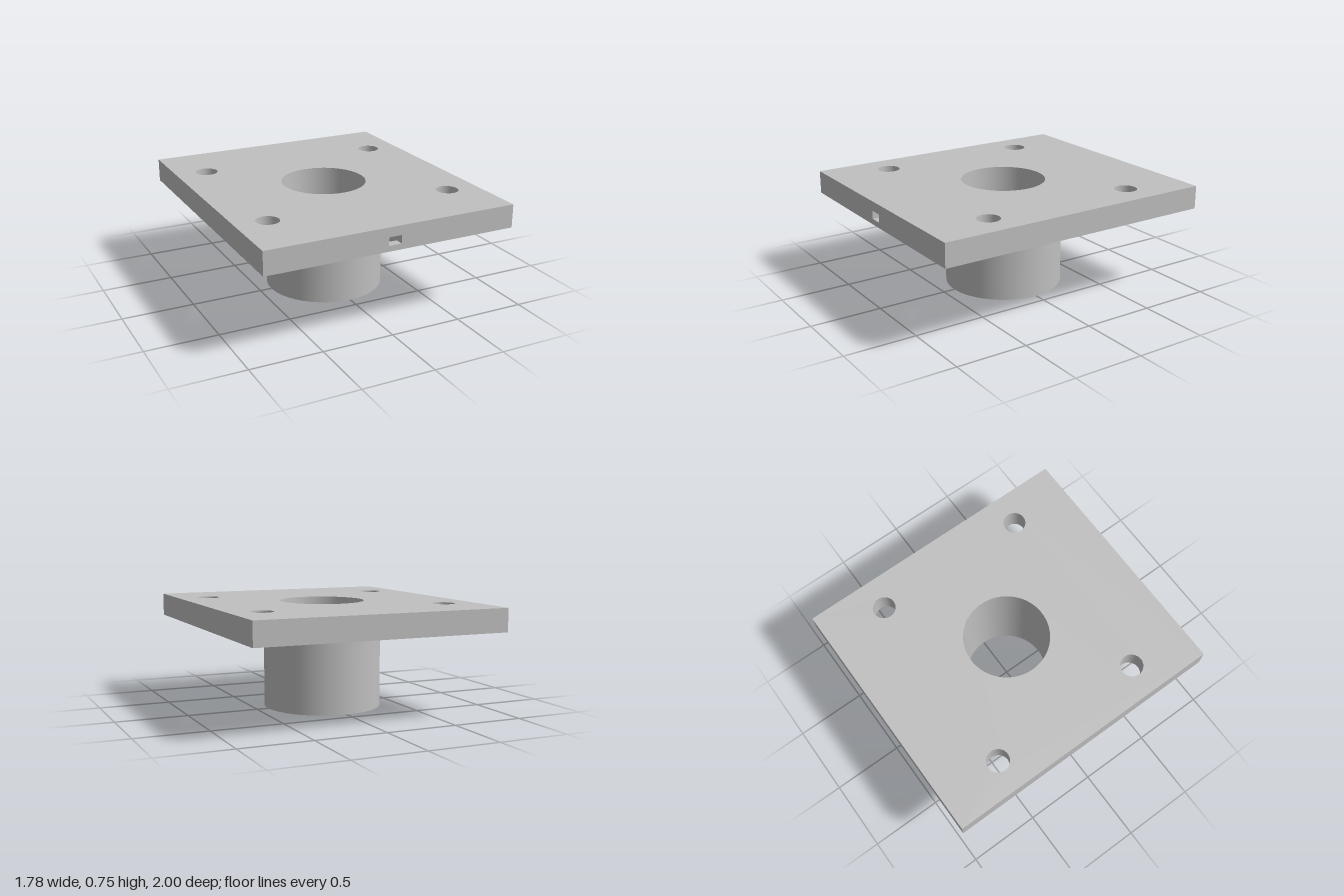
import * as THREE from 'three';

export function createModel() {
  const group = new THREE.Group();
  const steel = new THREE.MeshStandardMaterial({ color: 0xc0c0c0 });
  steel.name = 'grey steel';
  const steelInside = new THREE.MeshStandardMaterial({ color: 0xc0c0c0, side: THREE.DoubleSide });
  steelInside.name = 'grey steel inside';

  const W = 0.89, D = 1, TOP = 0.75, UNDER = 0.588, LIP = 0.56;
  const BORE = 0.296, TUBE = 0.415, FLANGE = 0.472;
  const BOLT = 0.078, SCREW = 0.03, SCREW_END = 0.2;
  const SLOT = { x: 0.046, z0: 0.78, z1: 0.94, y0: 0.627, y1: 0.684 };

  const add = (name, geometry, material = steel) => {
    const mesh = new THREE.Mesh(geometry, material);
    mesh.name = name;
    group.add(mesh);
    return mesh;
  };
  // Band turned about y: rising faces outward, falling faces inward, widening faces down
  const band = (name, r0, y0, r1, y1, x = 0, z = 0, sides = 72) =>
    add(name, new THREE.LatheGeometry([new THREE.Vector2(r0, y0), new THREE.Vector2(r1, y1)], sides).translate(x, 0, z));
  const rect = (x0, y0, x1, y1, Type = THREE.Shape) =>
    new Type([[x0, y0], [x1, y0], [x1, y1], [x0, y1]].map(p => new THREE.Vector2(...p)));
  const circle = (x, y, r, Type = THREE.Path) => new Type().absarc(x, y, r, 0, Math.PI * 2);
  const face = (shape, holes = []) => {
    shape.holes.push(...holes);
    return new THREE.ShapeGeometry(shape, 72);
  };

  const bolts = [];
  for (const x of [-0.667, 0.667]) for (const z of [-0.556, 0.556]) bolts.push([x, z]);
  const boltHoles = () => bolts.map(([x, z]) => circle(x, z, BOLT));

  // Plate faces, with openings for the bore, bolts and cable passage
  add('plateTop', face(rect(-W, -D, W, D), [circle(0, 0, BORE), ...boltHoles()])
    .rotateX(-Math.PI / 2).translate(0, TOP, 0));
  add('plateUnderside', face(rect(-W, -D, W, D), [circle(0, 0, FLANGE), ...boltHoles(),
    rect(-SLOT.x, SLOT.z0, SLOT.x, SLOT.z1, THREE.Path)])
    .rotateX(Math.PI / 2).translate(0, UNDER, 0));
  add('plateFront', face(rect(-W, UNDER, W, TOP), [rect(-SLOT.x, SLOT.y0, SLOT.x, SLOT.y1, THREE.Path)])
    .translate(0, 0, D));
  add('plateBack', face(rect(-W, UNDER, W, TOP)).rotateY(Math.PI).translate(0, 0, -D));
  for (const s of [-1, 1]) {
    add(s > 0 ? 'plateLeftSide' : 'plateRightSide',
      face(rect(-D, UNDER, D, TOP)).rotateY(s * Math.PI / 2).translate(s * W, 0, 0));
  }
  for (const [x, z] of bolts) band('boltHole', BOLT, TOP, BOLT, UNDER, x, z, 40);

  // Cable passage: in at the front, out through the underside
  const section = [[D, SLOT.y1], [SLOT.z0, SLOT.y1], [SLOT.z0, UNDER],
    [SLOT.z1, UNDER], [SLOT.z1, SLOT.y0], [D, SLOT.y0]];
  for (const s of [-1, 1]) {
    const side = new THREE.Shape(section.map(([z, y]) => new THREE.Vector2(-z, y)));
    add('passageSide', face(side).rotateY(Math.PI / 2).translate(s * SLOT.x, 0, 0), steelInside);
  }
  const across = (name, w, h) => new THREE.PlaneGeometry(w, h);
  const level = (name, z0, z1, y) => add(name,
    across(name, SLOT.x * 2, z1 - z0).rotateX(-Math.PI / 2).translate(0, y, (z0 + z1) / 2), steelInside);
  const upright = (name, y0, y1, z) => add(name,
    across(name, SLOT.x * 2, y1 - y0).translate(0, (y0 + y1) / 2, z), steelInside);
  level('passageCeiling', SLOT.z0, D, SLOT.y1);
  level('passageFloor', SLOT.z1, D, SLOT.y0);
  upright('passageBackWall', UNDER, SLOT.y1, SLOT.z0);
  upright('passageFrontWall', UNDER, SLOT.y0, SLOT.z1);

  // Flange, tube and through bore
  band('flangeEdge', FLANGE, LIP, FLANGE, UNDER);
  band('flangeUnderside', TUBE, LIP, FLANGE, LIP);
  band('tubeWall', TUBE, 0, TUBE, LIP);
  band('bore', BORE, TOP, BORE, 0);

  // Tube end with three blind screw holes
  const screws = [-90, 30, 150].map(a => a * Math.PI / 180)
    .map(a => [0.355 * Math.cos(a), 0.355 * Math.sin(a)]);
  add('tubeEnd', face(circle(0, 0, TUBE, THREE.Shape),
    [circle(0, 0, BORE), ...screws.map(([x, z]) => circle(x, z, SCREW))]).rotateX(Math.PI / 2));
  for (const [x, z] of screws) {
    band('screwHole', SCREW, SCREW_END, SCREW, 0, x, z, 24);
    add('screwHoleEnd', new THREE.CircleGeometry(SCREW, 24).rotateX(Math.PI / 2).translate(x, SCREW_END, z));
  }
  return group;
}
